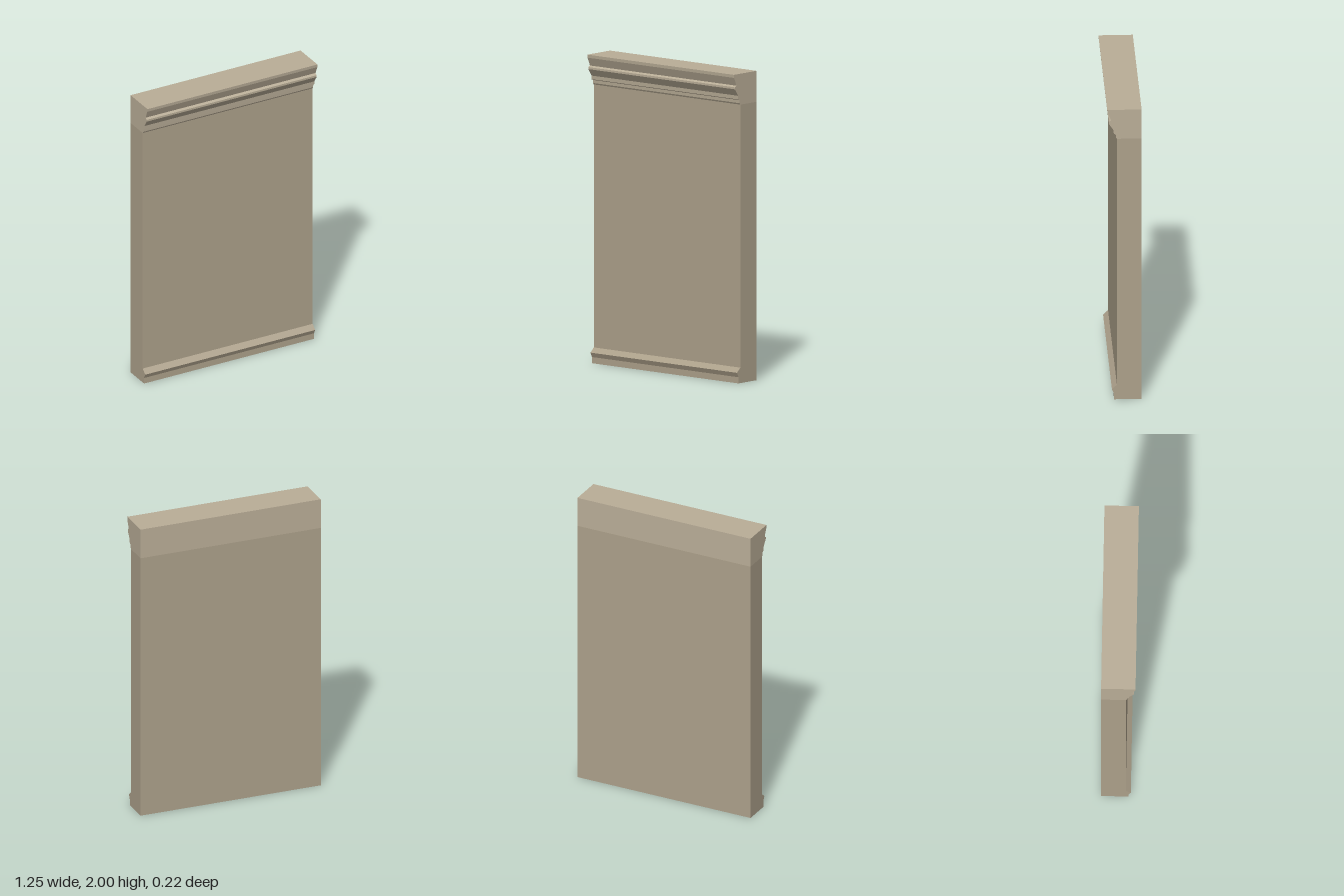
import * as THREE from 'three';

const WIDTH = 1.246, BACK = -0.11, FACE = 0.048, SEAM = 1.8;

// Sweep a (z, y) side profile across the full width
function sweep(name, profile, color) {
  const shape = new THREE.Shape(profile.map(([z, y]) => new THREE.Vector2(z, y)));
  const geometry = new THREE.ExtrudeGeometry(shape, { depth: WIDTH, bevelEnabled: false });
  geometry.translate(0, 0, -WIDTH / 2);
  geometry.rotateY(-Math.PI / 2);
  const mesh = new THREE.Mesh(geometry, new THREE.MeshStandardMaterial({ color, flatShading: true }));
  mesh.name = name;
  return mesh;
}

export function createModel() {
  const group = new THREE.Group();
  group.name = 'wallPanel';

  // Flat wall with a moulded skirting at the foot
  group.add(sweep('wallWithSkirting', [
    [BACK, 0], [0.066, 0], [0.066, 0.04], [0.08, 0.07],
    [FACE, 0.1], [FACE, SEAM], [BACK, SEAM],
  ], 0xaca08a));

  // Stepped cornice along the top
  group.add(sweep('cornice', [
    [BACK, SEAM], [FACE, SEAM], [0.054, 1.81], [0.056, 1.83], [0.068, 1.836],
    [0.07, 1.86], [0.1, 1.905], [0.1, 1.918], [0.085, 1.927],
    [0.108, 1.98], [0.11, 2], [BACK, 2],
  ], 0xb9ad97));

  return group;
}
